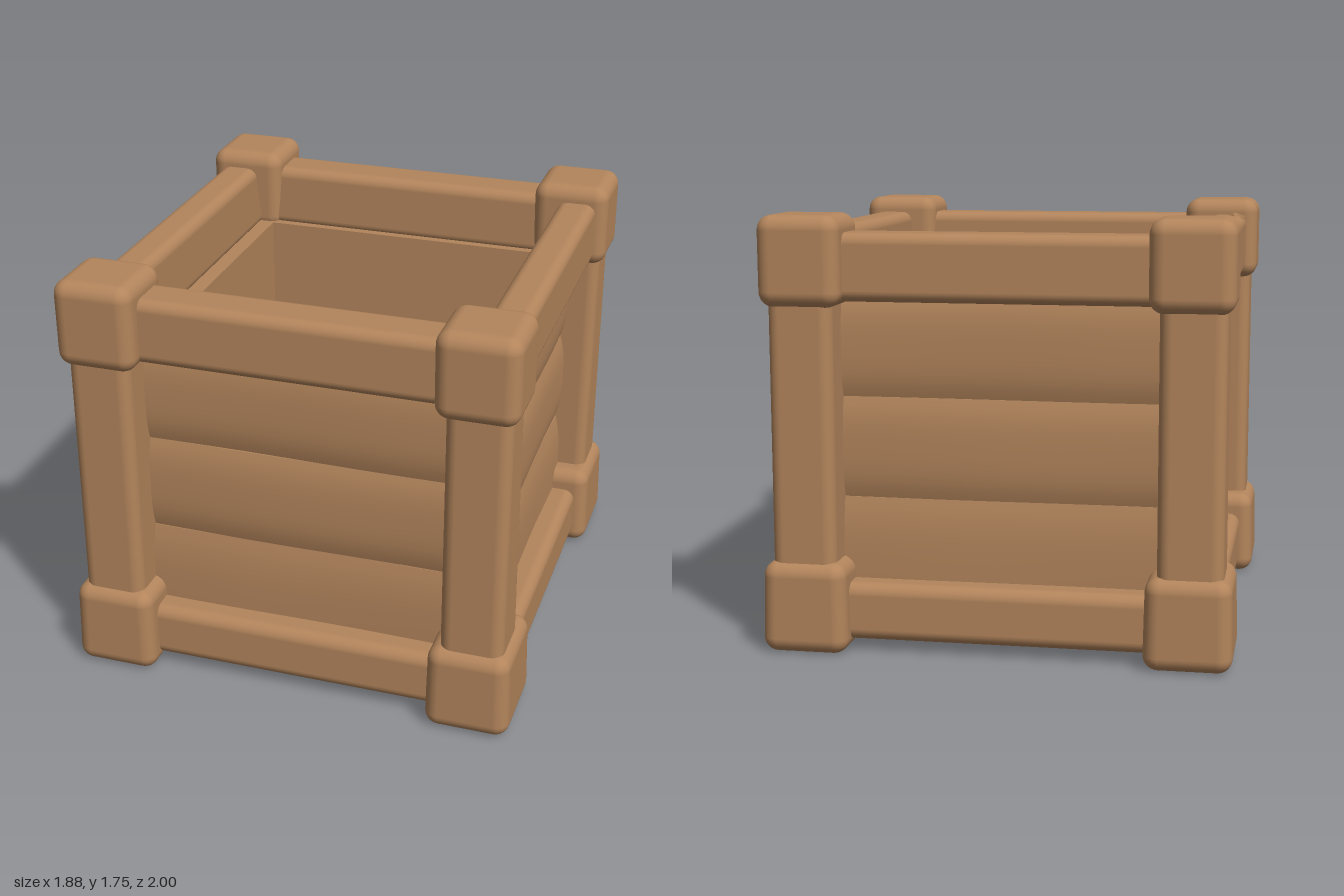
import * as THREE from 'three';
import { RoundedBoxGeometry } from 'three/addons/geometries/RoundedBoxGeometry.js';

const wood = new THREE.MeshStandardMaterial({ color: 0xb3855c });
wood.name = 'warm wood';

// Rounded box spanning two corners, with an optional rule that moves its vertices
function block(name, min, max, radius, rule) {
  const size = max.map((v, i) => v - min[i]);
  const geometry = new RoundedBoxGeometry(...size, 4, radius);
  geometry.translate(...min.map((v, i) => v + size[i] / 2));
  if (rule) bend(geometry, rule);
  const mesh = new THREE.Mesh(geometry, wood);
  mesh.name = name;
  return mesh;
}

function bend(geometry, rule) {
  const p = geometry.attributes.position;
  const v = new THREE.Vector3();
  for (let i = 0; i < p.count; i++) {
    v.fromBufferAttribute(p, i);
    rule(v);
    p.setXYZ(i, v.x, v.y, v.z);
  }
}

// Plank whose outer face swells gently between its seams
function plank(name, width, y0, y1, outer, inner) {
  const geometry = new THREE.BoxGeometry(width, y1 - y0, outer - inner, 6, 12, 1);
  bend(geometry, (v) => {
    const t = (2 * v.y) / (y1 - y0);
    if (v.z > 0) v.z -= 0.025 * Math.pow(Math.abs(t), 3) + 0.004 * Math.sin(v.x * 5 + y0 * 9);
  });
  geometry.translate(0, (y0 + y1) / 2, (outer + inner) / 2);
  geometry.computeVertexNormals();
  const mesh = new THREE.Mesh(geometry, wood);
  mesh.name = name;
  return mesh;
}

export function createModel() {
  const crate = new THREE.Group();
  crate.name = 'openCrate';

  // Four corners: foot block, tapering post and cap block
  for (const sx of [-1, 1]) {
    for (const sz of [-1, 1]) {
      const corner = new THREE.Group();
      corner.name = `${sz > 0 ? 'front' : 'back'}${sx > 0 ? 'Left' : 'Right'}Corner`;
      const place = (v) => { v.x *= sx; v.z *= sz; };
      const parts = [
        ['footBlock', [0.59, 0, 0.59], [0.94, 0.37, 1.0], 0.06, (v) => {
          if (v.y > 0.2) { v.x = 0.765 + (v.x - 0.765) * 0.97; v.z = 0.79 + (v.z - 0.79) * 0.98; }
        }],
        ['post', [0.64, 0.25, 0.69], [0.9, 1.5, 0.96], 0.05, (v) => {
          if (v.z < 0.8) v.z += 0.035 * (v.y - 0.4);
        }],
        ['capBlock', [0.6, 1.39, 0.665], [0.93, 1.75, 1.0], 0.06, (v) => {
          if (v.y < 1.5) v.z = 0.83 + (v.z - 0.83) * 0.98;
        }],
      ];
      for (const [name, min, max, radius, rule] of parts) {
        // Mirror the box limits so the winding stays outward
        const lo = [sx > 0 ? min[0] : -max[0], min[1], sz > 0 ? min[2] : -max[2]];
        const hi = [sx > 0 ? max[0] : -min[0], max[1], sz > 0 ? max[2] : -min[2]];
        corner.add(block(name, lo, hi, radius, (v) => { place(v); rule(v); place(v); }));
      }
      crate.add(corner);
    }
  }

  // Four sides: top rail, bottom rail and three planks, turned into place
  const seams = [0.06, 0.61, 1.02, 1.43];
  const sides = [
    ['front', 0, 0.92, 0.81, 0.68, 0.7],
    ['left', Math.PI / 2, 0.88, 0.775, 0.63, 0.74],
    ['back', Math.PI, 0.92, 0.81, 0.66, 0.7],
    ['right', -Math.PI / 2, 0.88, 0.775, 0.63, 0.74],
  ];
  for (const [name, angle, rail, outer, inner, half] of sides) {
    const side = new THREE.Group();
    side.name = `${name}Side`;
    side.rotation.y = angle;
    // The inner face of the top rail slopes down to the wall
    side.add(block('topRail', [-half, 1.41, 0.69], [half, 1.68, rail], 0.045, (v) => {
      if (v.z < 0.77 && v.y > 1.55) v.z += 0.02;
    }));
    side.add(block('bottomRail', [-half, 0.045, 0.62], [half, 0.28, rail], 0.05));
    for (let i = 0; i < 3; i++) {
      side.add(plank('plank', half * 2, seams[i], seams[i + 1], outer, inner));
    }
    crate.add(side);
  }

  // Raised inner floor with a narrow lip, and the underside board
  crate.add(block('innerFloor', [-0.65, 0.9, -0.68], [0.65, 0.97, 0.69], 0.01));
  const lipShape = new THREE.Shape();
  lipShape.moveTo(-0.65, -0.69).lineTo(0.65, -0.69).lineTo(0.65, 0.68).lineTo(-0.65, 0.68).closePath();
  const opening = new THREE.Path();
  opening.moveTo(-0.59, -0.6).lineTo(-0.59, 0.6).lineTo(0.59, 0.6).lineTo(0.59, -0.6).closePath();
  lipShape.holes.push(opening);
  const lip = new THREE.Mesh(new THREE.ExtrudeGeometry(lipShape, { depth: 0.03, bevelEnabled: false }), wood);
  lip.name = 'floorLip';
  lip.rotation.x = -Math.PI / 2;
  lip.position.y = 0.955;
  crate.add(lip);
  crate.add(block('underside', [-0.8, 0.045, -0.84], [0.8, 0.1, 0.84], 0.015));

  // Small flat splinter lying on one top rail
  const splinter = new THREE.Mesh(new THREE.ConeGeometry(0.06, 0.22, 4), wood);
  splinter.name = 'splinter';
  splinter.rotation.x = -Math.PI / 2;
  splinter.scale.z = 0.35;
  splinter.position.set(-0.83, 1.67, 0.55);
  crate.add(splinter);

  return crate;
}
